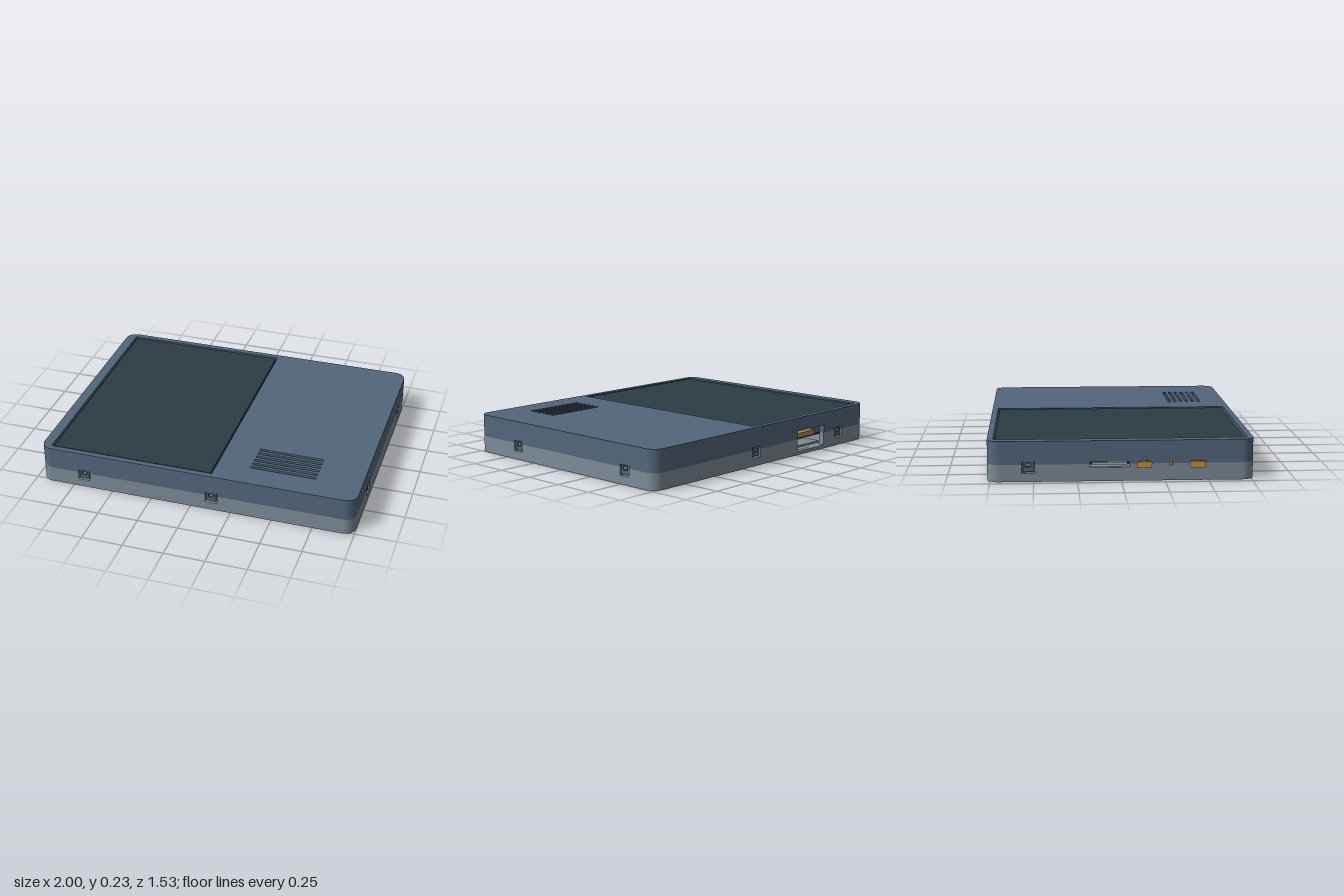
import * as THREE from 'three';
import { toCreasedNormals } from 'three/addons/utils/BufferGeometryUtils.js';

const HX = 0.98, HZ = 0.765, R = 0.07, T = 0.035;        // case half sizes, corner radius, wall
const FLOOR = 0.02, SEAM = 0.1, ROOF = 0.215, TOP = 0.235;
const mat = (color) => new THREE.MeshStandardMaterial({ color });
const upper = mat(0x52677b), lower = mat(0x7c8a96), glass = mat(0x2c3b43), gold = mat(0xc8923a),
  dark = mat(0x30383e), light = mat(0xa4adb3), red = mat(0xa83a3a), copper = mat(0xa98556);

function add(parent, name, geometry, material, x = 0, y = 0, z = 0) {
  const mesh = new THREE.Mesh(geometry, material);
  mesh.name = name;
  mesh.position.set(x, y, z);
  parent.add(mesh);
  return mesh;
}
const box = (parent, name, m, w, h, d, x, y, z) =>
  add(parent, name, new THREE.BoxGeometry(w, h, d), m, x, y, z);

// Rounded rectangle outline around (cx, cy)
function rounded(path, cx, cy, hx, hy, r) {
  path.absarc(cx + hx - r, cy + hy - r, r, 0, Math.PI / 2);
  path.absarc(cx - hx + r, cy + hy - r, r, Math.PI / 2, Math.PI);
  path.absarc(cx - hx + r, cy - hy + r, r, Math.PI, Math.PI * 1.5);
  path.absarc(cx + hx - r, cy - hy + r, r, Math.PI * 1.5, Math.PI * 2);
  path.closePath();
  return path;
}

// Extrude a plan shape (shape y = -z) upwards from the origin
function upright(shape, height) {
  const g = new THREE.ExtrudeGeometry(shape, { depth: height, bevelEnabled: false, curveSegments: 10 });
  return toCreasedNormals(g.rotateX(-Math.PI / 2), 0.6);
}

// Straight wall from a plate to the seam, with notches cut in at the seam edge
function wall(half, plateY, notches, key) {
  const s = new THREE.Shape();
  s.moveTo(-half, plateY);
  s.lineTo(-half, SEAM);
  for (const n of [...notches].sort((a, b) => a.at - b.at)) {
    const l = n.at - n.w / 2, r = n.at + n.w / 2;
    s.lineTo(l, SEAM);
    s.lineTo(l, n[key]);
    s.lineTo(r, n[key]);
    s.lineTo(r, SEAM);
  }
  s.lineTo(half, SEAM);
  s.lineTo(half, plateY);
  s.closePath();
  return new THREE.ExtrudeGeometry(s, { depth: T, bevelEnabled: false }).translate(0, 0, -T);
}

// Snap clip: slotted tab of the upper shell hanging into the lower one
function clip(parent, at) {
  const g = new THREE.Group();
  g.name = 'snapClip';
  g.position.set(at, 0, 0);
  parent.add(g);
  const s = new THREE.Shape();
  rounded(s, 0, 0.087, 0.029, 0.028, 0.003);
  s.holes.push(rounded(new THREE.Path(), 0, 0.097, 0.017, 0.014, 0.002));
  add(g, 'clipTab', new THREE.ExtrudeGeometry(s, { depth: 0.012, bevelEnabled: false, curveSegments: 2 }),
    upper, 0, 0, -0.018);
  box(g, 'clipHook', lower, 0.022, 0.018, 0.016, 0, 0.097, -0.016);
  box(g, 'clipBacking', upper, 0.07, 0.065, 0.006, 0, 0.0825, -T + 0.003);
}

export function createModel() {
  const model = new THREE.Group();
  model.name = 'handheldCase';
  const body = new THREE.Group();
  body.name = 'body';
  body.position.x = 0.02;
  model.add(body);

  // Base plate
  add(body, 'basePlate', upright(rounded(new THREE.Shape(), 0, 0, HX, HZ, R), FLOOR), lower);

  // Top plate with screen window and speaker slots
  const lid = rounded(new THREE.Shape(), 0, 0, HX, HZ, R);
  lid.holes.push(rounded(new THREE.Path(), -0.407, 0, 0.512, 0.73, 0.004));
  for (let i = 0; i < 6; i++) {
    lid.holes.push(rounded(new THREE.Path(), 0.505, -(0.4 + i * 0.039), 0.2, 0.0095, 0.009));
  }
  add(body, 'topPlate', upright(lid, TOP - ROOF), upper, 0, ROOF, 0);

  // Side walls: notch positions run along each wall, seen from outside
  const C = (at) => ({ at, w: 0.074, down: 0.05, up: 0.115, clip: true });
  const cut = (at, w, down, up) => ({ at, w, down, up });
  const sides = [
    { name: 'front', turn: 0, half: HX, out: HZ, notches: [C(-0.7), C(0.11)] },
    { name: 'left', turn: Math.PI / 2, half: HZ, out: HX, notches: [C(-0.39), C(0.53)] },
    { name: 'back', turn: Math.PI, half: HX, out: HZ,
      notches: [C(0.7), C(-0.11), cut(0.415, 0.265, 0.022, 0.15)] },
    { name: 'right', turn: -Math.PI / 2, half: HZ, out: HX,
      notches: [C(-0.53), cut(-0.065, 0.23, 0.08, 0.112), cut(0.13, 0.04, 0.082, 0.116),
        cut(0.285, 0.02, 0.09, 0.11), cut(0.435, 0.04, 0.082, 0.116)] },
  ];
  for (const side of sides) {
    const pivot = new THREE.Group();
    pivot.name = side.name + 'Side';
    pivot.rotation.y = side.turn;
    body.add(pivot);
    const face = new THREE.Group();
    face.name = side.name + 'Walls';
    face.position.z = side.out;
    pivot.add(face);
    add(face, 'lowerWall', wall(side.half - R, FLOOR, side.notches, 'down'), lower);
    // The upper outline winds the other way; Shape extrusion corrects it
    add(face, 'upperWall', wall(side.half - R, ROOF, side.notches, 'up'), upper);
    for (const n of side.notches) if (n.clip) clip(face, n.at);
  }

  // Rounded corner posts
  for (let i = 0; i < 4; i++) {
    const a = i * Math.PI / 2, cx = (i === 0 || i === 3 ? 1 : -1) * (HX - R), cy = (i < 2 ? 1 : -1) * (HZ - R);
    const s = new THREE.Shape();
    s.absarc(cx, cy, R, a, a + Math.PI / 2, false);
    s.absarc(cx, cy, R - T, a + Math.PI / 2, a, true);
    s.closePath();
    add(body, 'lowerCorner', upright(s, SEAM - FLOOR), lower, 0, FLOOR, 0);
    add(body, 'upperCorner', upright(s, ROOF - SEAM), upper, 0, SEAM, 0);
  }

  // Screen panel and the frame beneath it
  box(model, 'screen', glass, 1.0, 0.03, 1.44, -0.386, 0.215, 0);
  box(model, 'screenFrame', light, 1.024, 0.01, 1.456, -0.387, 0.19, 0);

  // Circuit board and its parts
  box(model, 'circuitBoard', dark, 0.98, 0.012, 1.4, -0.39, 0.085, 0);
  for (const z of [-0.52, 0.25]) box(model, 'boardPlug', red, 0.03, 0.025, 0.03, 0.115, 0.205, z);

  // Rear port: connector and tray
  box(model, 'portConnector', copper, 0.18, 0.03, 0.12, -0.4, 0.106, -0.66);
  box(model, 'portTray', lower, 0.265, 0.012, 0.12, -0.395, 0.04, -0.67);

  // Card in the side slot
  box(model, 'card', light, 0.2, 0.012, 0.2, -0.84, 0.097, -0.065);

  // Push buttons with wide heads on narrow stems, and an indicator pin
  for (const z of [0.13, 0.435]) {
    const button = new THREE.Group();
    button.name = 'sideButton';
    button.position.set(0, 0.099, z);
    model.add(button);
    box(button, 'buttonHead', gold, 0.018, 0.036, 0.086, -0.991, 0, 0);
    box(button, 'buttonStem', gold, 0.11, 0.028, 0.03, -0.93, 0, 0);
  }
  box(model, 'indicatorPin', gold, 0.06, 0.016, 0.016, -0.92, 0.1, 0.285);
  return model;
}
